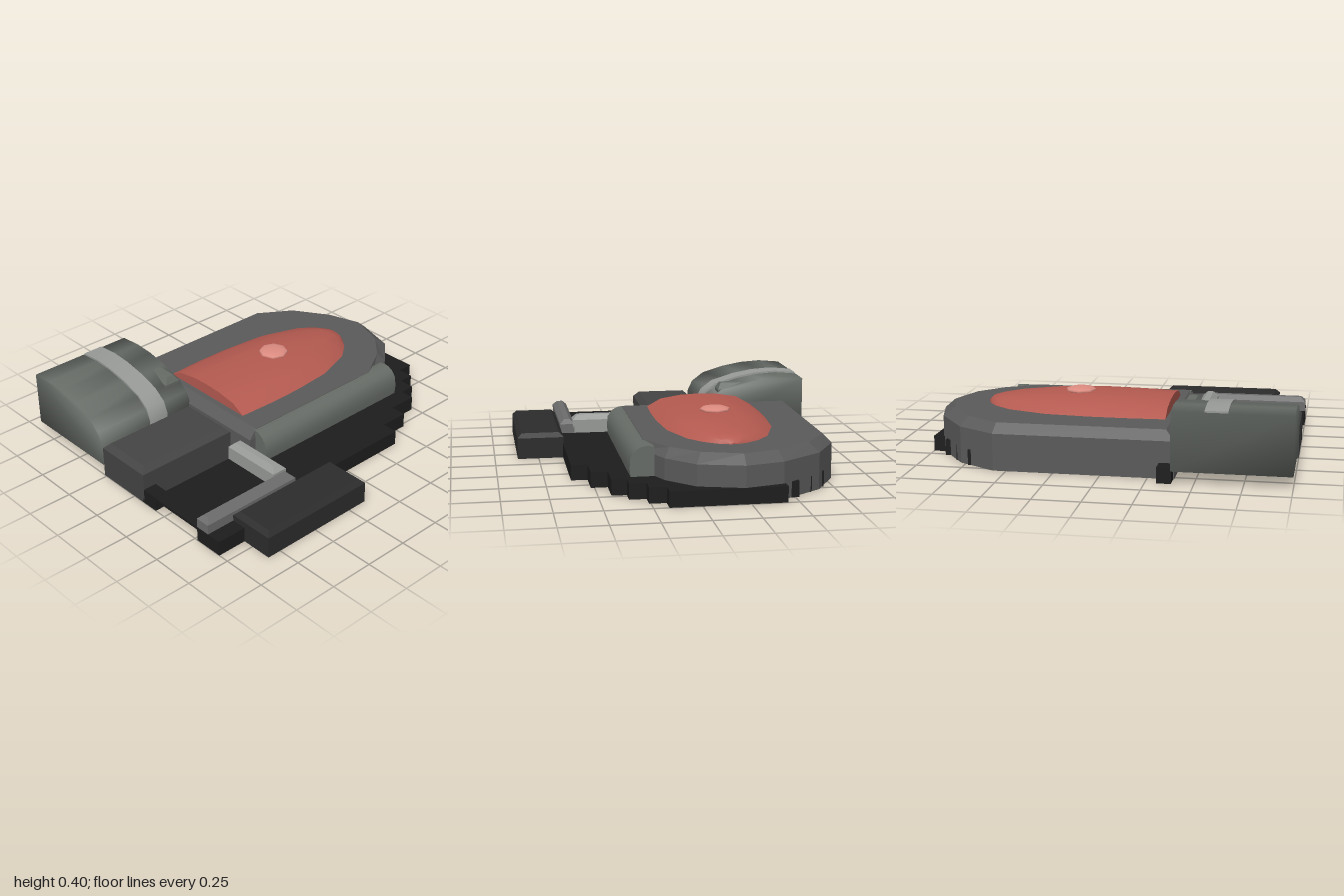
import * as THREE from 'three';
import { toCreasedNormals } from 'three/addons/utils/BufferGeometryUtils.js';

// Skin over closed rings of [x, y, z]; rings run counter-clockwise seen from the last ring's end
function loft(rings, crease = 0) {
  const pos = [];
  const tri = (a, b, c) => pos.push(...a, ...b, ...c);
  const n = rings[0].length;
  for (let r = 0; r < rings.length - 1; r++) {
    const A = rings[r], B = rings[r + 1];
    for (let i = 0; i < n; i++) {
      const j = (i + 1) % n;
      tri(A[i], A[j], B[j]);
      tri(A[i], B[j], B[i]);
    }
  }
  const first = rings[0], last = rings[rings.length - 1];
  for (let i = 1; i < n - 1; i++) {
    tri(first[0], first[i + 1], first[i]);
    tri(last[0], last[i], last[i + 1]);
  }
  const g = new THREE.BufferGeometry();
  g.setAttribute('position', new THREE.Float32BufferAttribute(pos, 3));
  g.computeVertexNormals();
  return crease ? toCreasedNormals(g, crease) : g;
}

const rect = (x0, x1, z0, z1, y) => [[x0, y, z1], [x1, y, z1], [x1, y, z0], [x0, y, z0]];

const box = (x0, x1, z0, z1, y0, y1) => loft([rect(x0, x1, z0, z1, y0), rect(x0, x1, z0, z1, y1)]);

// Box whose top edges are bevelled by b
function bevelBox(x0, x1, z0, z1, y0, y1, b) {
  return loft([rect(x0, x1, z0, z1, y0), rect(x0, x1, z0, z1, y1 - b),
    rect(x0 + b, x1 - b, z0 + b, z1 - b, y1)]);
}

// Side profile of [z, y] points pulled along x
function extrudeX(profile, x0, x1, crease = 0.6) {
  const shape = new THREE.Shape(profile.map(([z, y]) => new THREE.Vector2(-z, y)));
  const g = new THREE.ExtrudeGeometry(shape, { depth: x1 - x0, bevelEnabled: false });
  g.rotateY(Math.PI / 2).translate(x0, 0, 0);
  return toCreasedNormals(g, crease);
}

export function createModel() {
  const model = new THREE.Group();
  const mat = (color) => new THREE.MeshStandardMaterial({ color });
  const black = mat(0x1d1d1d), dark = mat(0x2c2c2c), grey = mat(0x5a5a5a), annexGrey = mat(0x444444);
  const olive = mat(0x666b66), pale = mat(0x979a97), rail = mat(0x6c6c6c);
  const red = mat(0xb45a50), pink = mat(0xdc8b80);
  const add = (name, geometry, material) => {
    const m = new THREE.Mesh(geometry, material);
    m.name = name;
    model.add(m);
    return m;
  };

  // Stepped foundation slab
  const steps = [[0.39, 0.61], [0.56, 0.52], [0.73, 0.43], [0.82, 0.35], [0.91, 0.26], [1, 0.17]];
  const backSteps = [[1, -0.44], [0.91, -0.52], [0.82, -0.61], [0.73, -0.7]];
  const outline = [[-0.39, 0.61]];
  steps.forEach(([x, z], i) => {
    outline.push([x, z]);
    if (i < steps.length - 1) outline.push([x, steps[i + 1][1]]);
  });
  backSteps.forEach(([x, z], i) => {
    outline.push([x, z]);
    if (i < backSteps.length - 1) outline.push([backSteps[i + 1][0], z]);
  });
  outline.push([0.55, -0.7], [0.55, -0.78], [-0.385, -0.78]);
  const slab = new THREE.ExtrudeGeometry(
    new THREE.Shape(outline.map(([x, z]) => new THREE.Vector2(x, -z))), { depth: 0.085, bevelEnabled: false });
  add('foundation', slab.rotateX(-Math.PI / 2), black);
  add('foundationTab', box(-0.385, -0.31, -0.87, -0.77, 0, 0.085), black);
  add('yardTab', box(-1, -0.92, 0.07, 0.18, 0, 0.085), black);
  add('yardEdge', box(-1, -0.38, 0.52, 0.69, 0, 0.085), black);
  add('yardFloor', box(-1, -0.38, 0.17, 0.53, 0.068, 0.084), black);

  // Main hall with rounded end and bevelled rim
  const wall = [[-0.39, 0.248], [0.57, 0.248], [0.78, 0.16], [0.93, 0.02], [0.998, -0.22],
    [0.945, -0.43], [0.78, -0.66], [0.57, -0.785], [-0.39, -0.785]];
  const roof = [[-0.34, 0.24], [0.55, 0.24], [0.74, 0.13], [0.87, -0.01], [0.94, -0.22],
    [0.88, -0.41], [0.75, -0.61], [0.56, -0.735], [-0.34, -0.735]];
  const ring = (pts, y) => pts.map(([x, z]) => [x, y, z]);
  add('mainHall', loft([ring(wall, 0.001), ring(wall, 0.2), ring(roof, 0.25)]), grey);

  // Rounded gallery along the front wall
  add('frontGallery', extrudeX([[0.2, 0.08], [0.325, 0.08], [0.33, 0.13], [0.325, 0.19],
    [0.3, 0.225], [0.27, 0.242], [0.235, 0.248], [0.2, 0.24]], -0.35, 0.69), olive);

  // Red roof shell: arched sections [x, half width, height]
  const sections = [[-0.305, 0.31, 0.07], [-0.1, 0.318, 0.078], [0.1, 0.316, 0.083], [0.35, 0.295, 0.077],
    [0.57, 0.22, 0.058], [0.66, 0.15, 0.044], [0.71, 0.085, 0.033], [0.735, 0.02, 0.01]];
  const arc = [[-1, 0], [-0.73, 0.66], [-0.35, 0.93], [0, 1], [0.35, 0.93], [0.73, 0.66], [1, 0]];
  add('redRoof', loft(sections.map(([x, w, h]) =>
    arc.map(([t, k]) => [x, 0.248 + h * k, -0.212 + w * t])), 0.7), red);
  const knob = add('roofKnob', new THREE.SphereGeometry(0.087, 8, 8), pink);
  knob.scale.y = 0.22;
  knob.position.set(0.212, 0.33, -0.212);

  // Arched hangar at the back with a raised band and a small vent
  const arch = [[-0.27, 0.2], [-0.3, 0.265], [-0.37, 0.318], [-0.5, 0.358],
    [-0.62, 0.38], [-0.74, 0.388], [-0.87, 0.376]];
  add('hangar', extrudeX([[-0.87, 0.065], [-0.27, 0.065], ...arch], -1, -0.38, 1.6), olive);
  add('hangarBand', extrudeX([[-0.864, 0.1], [-0.264, 0.1],
    ...arch.map(([z, y]) => [z + 0.006, y + 0.01])], -0.67, -0.55), pale);
  add('hangarVent', loft([rect(-0.485, -0.39, -0.49, -0.35, 0.3), rect(-0.485, -0.39, -0.49, -0.35, 0.32),
    rect(-0.46, -0.415, -0.49, -0.37, 0.357)]), olive);

  // Low annex, front block and yard rails
  add('annex', bevelBox(-1, -0.39, -0.265, 0.085, 0, 0.21, 0.032), annexGrey);
  add('frontBlock', bevelBox(-0.83, -0.135, 0.605, 0.87, 0, 0.145, 0.025), dark);
  add('frontRail', bevelBox(-1, -0.39, 0.52, 0.605, 0.08, 0.165, 0.026), rail);
  add('sideRail', bevelBox(-0.48, -0.39, 0.17, 0.53, 0.08, 0.19, 0.028), pale);

  return model;
}
